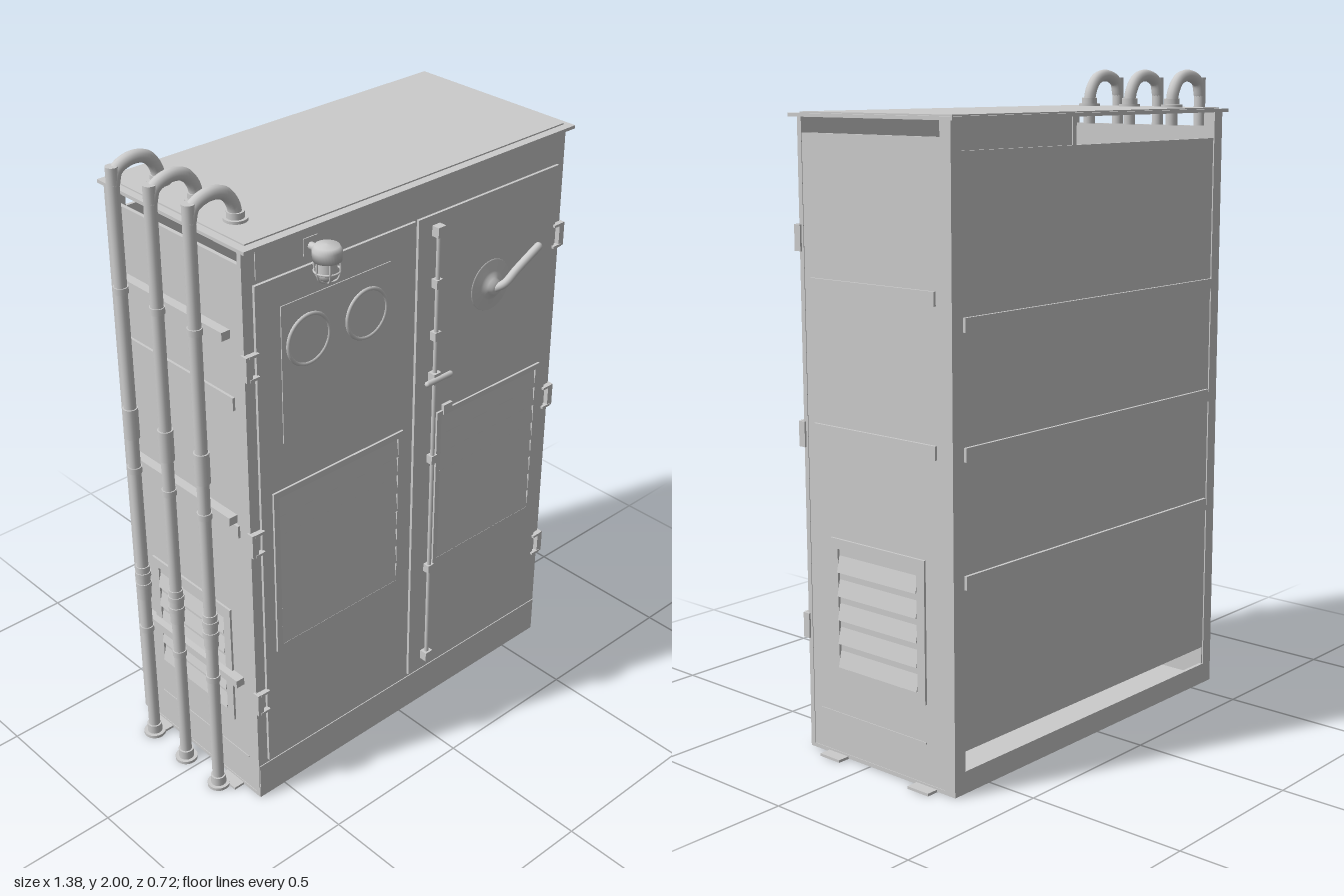
import * as THREE from 'three';

const mat = new THREE.MeshStandardMaterial({ color: 0xcccccc });
const CX = 0.024; // middle of the cabinet body in x

export function createModel() {
  const root = new THREE.Group();

  const add = (name, geo, x = 0, y = 0, z = 0, parent = root) => {
    const m = new THREE.Mesh(geo, mat);
    m.name = name;
    m.position.set(x, y, z);
    parent.add(m);
    return m;
  };
  // box given by its limits
  const box = (name, x0, x1, y0, y1, z0, z1, parent = root) =>
    add(name, new THREE.BoxGeometry(x1 - x0, y1 - y0, z1 - z0),
      (x0 + x1) / 2, (y0 + y1) / 2, (z0 + z1) / 2, parent);
  // upright cylinder given by its end heights
  const rod = (name, x, z, y0, y1, r, seg = 16, parent = root) =>
    add(name, new THREE.CylinderGeometry(r, r, y1 - y0, seg), x, (y0 + y1) / 2, z, parent);
  const tube = (name, pts, r, seg = 24, parent = root) =>
    add(name, new THREE.TubeGeometry(
      new THREE.CatmullRomCurve3(pts.map(p => new THREE.Vector3(...p))), seg, r, 12), 0, 0, 0, parent);
  // rectangular frame facing +z
  const frame = (name, w, h, t, d, parent) => {
    const s = new THREE.Shape([[-w, -h], [w, -h], [w, h], [-w, h]].map(p => new THREE.Vector2(p[0] / 2, p[1] / 2)));
    const iw = w / 2 - t, ih = h / 2 - t;
    s.holes.push(new THREE.Path([[-iw, -ih], [-iw, ih], [iw, ih], [iw, -ih]].map(p => new THREE.Vector2(...p))));
    return add(name, new THREE.ExtrudeGeometry(s, { depth: d, bevelEnabled: false }), 0, 0, 0, parent);
  };
  // framed louvre with tilted slats, facing +z
  const louvre = (name, w, h, n, t, tilt) => {
    const g = new THREE.Group();
    g.name = name;
    frame('louvreFrame', w, h, t, 0.007, g);
    const pitch = (h - 2 * t) / n;
    for (let i = 0; i < n; i++) {
      const slat = add('louvreSlat', new THREE.BoxGeometry(w - 2 * t, pitch * 0.97, 0.003),
        0, h / 2 - t - pitch * (i + 0.5), 0.002, g);
      slat.rotation.x = -tilt;
    }
    root.add(g);
    return g;
  };

  // cabinet shell, open below the roof
  box('floor', -0.6, 0.648, 0.002, 0.014, -0.34, 0.248);
  box('frontWall', -0.6, 0.648, 0.002, 1.872, 0.236, 0.248);
  box('backWall', -0.596, 0.644, 0.125, 1.79, -0.336, -0.326);
  box('backSill', -0.6, 0.648, 0.002, 0.068, -0.34, -0.328);
  box('backSlotEndLeft', 0.6, 0.644, 0.06, 0.13, -0.336, -0.326);
  box('backSlotEndRight', -0.596, -0.555, 0.06, 0.13, -0.336, -0.326);
  for (const y of [1.33, 0.975, 0.615]) {
    box('backRib', -0.55, 0.6, y - 0.02, y + 0.02, -0.345, -0.334);
  }
  for (const s of [1, -1]) {
    const sx = d => CX + s * d;
    const sideBox = (name, d0, d1, ...r) => box(name, Math.min(sx(d0), sx(d1)), Math.max(sx(d0), sx(d1)), ...r);
    sideBox('sideWall', 0.61, 0.622, 0.002, 1.826, -0.335, 0.24);
    sideBox('backPost', 0.583, 0.624, 0.002, 1.872, -0.34, -0.3);
    sideBox('frontPost', 0.59, 0.624, 0.002, 1.872, 0.232, 0.248);
    for (const y of [1.4, 0.98]) sideBox('sideRib', 0.62, 0.63, y - 0.02, y + 0.02, -0.28, 0.2);
    sideBox('baseSeam', 0.62, 0.6245, 0.132, 0.137, -0.23, 0.2);
    for (const z of [-0.23, 0.13]) sideBox('footTab', 0.55, 0.661, 0, 0.008, z - 0.04, z + 0.04);
    const l = louvre('sideLouvre', 0.375, 0.42, 5, 0.03, 0.22);
    l.position.set(sx(0.622), 0.46, -0.045);
    l.rotation.y = s * Math.PI / 2;
    // door hinges
    for (const y of [1.53, 0.96, 0.38]) {
      sideBox('hinge', 0.609, 0.63, y - 0.038, y + 0.038, 0.24, 0.264);
      for (const e of [-0.035, 0.035]) sideBox('hingeArm', 0.585, 0.62, y + e - 0.004, y + e + 0.004, 0.25, 0.266);
    }
  }

  // roof with raised centre panel
  box('roof', -0.61, 0.66, 1.87, 1.88, -0.356, 0.273);
  box('roofPanel', -0.585, 0.64, 1.875, 1.884, -0.338, 0.245);

  // doors, header and plinth
  box('header', -0.555, 0.605, 1.775, 1.865, 0.245, 0.251);
  box('plinth', -0.598, 0.646, 0.002, 0.125, 0.245, 0.251);
  box('rightDoor', -0.565, 0.021, 0.138, 1.762, 0.24, 0.257);
  box('leftDoor', 0.032, 0.618, 0.138, 1.762, 0.24, 0.257);

  // gauge panel
  box('gaugePanel', -0.48, -0.075, 1.25, 1.675, 0.25, 0.26);
  for (const x of [-0.385, -0.17]) {
    add('gaugeRing', new THREE.TorusGeometry(0.074, 0.006, 8, 40), x, 1.546, 0.261);
    add('gaugeGlass', new THREE.CylinderGeometry(0.072, 0.072, 0.006, 40), x, 1.546, 0.26).rotation.x = Math.PI / 2;
  }

  // door louvres
  louvre('rightDoorLouvre', 0.505, 0.56, 8, 0.02, 0.13).position.set(-0.272, 0.823, 0.257);
  louvre('leftDoorLouvre', 0.46, 0.56, 8, 0.018, 0.13).position.set(0.353, 0.823, 0.257);
  box('louvreLatch', 0.147, 0.183, 1.09, 1.123, 0.255, 0.268);

  // locking rod
  rod('lockRod', 0.1, 0.27, 0.19, 1.72, 0.007, 12);
  for (const y of [0.195, 1.715]) box('rodEnd', 0.085, 0.115, y - 0.016, y + 0.016, 0.255, 0.283);
  for (const y of [1.55, 1.38, 0.955, 0.545]) box('rodClip', 0.088, 0.112, y - 0.014, y + 0.014, 0.255, 0.28);
  add('rodHandle', new THREE.CapsuleGeometry(0.009, 0.095, 4, 12), 0.103, 1.24, 0.285).rotation.z = Math.PI / 2;
  box('rodHandleBlock', 0.085, 0.115, 1.222, 1.258, 0.255, 0.283);

  // rotary door handle
  const rosette = new THREE.LatheGeometry(
    [[0, 0.03], [0.022, 0.03], [0.026, 0.016], [0.042, 0.013], [0.046, 0.007], [0.08, 0.005], [0.082, 0]]
      .reverse().map(p => new THREE.Vector2(...p)), 40);
  add('handleRosette', rosette, 0.338, 1.46, 0.256).rotation.x = Math.PI / 2;
  tube('handleLever', [[0.335, 1.455, 0.275], [0.355, 1.472, 0.298], [0.4, 1.508, 0.306], [0.47, 1.565, 0.322]], 0.013);
  add('leverTip', new THREE.SphereGeometry(0.013, 12, 8), 0.47, 1.565, 0.322);

  // caged lamp
  const lamp = new THREE.Group();
  lamp.name = 'lamp';
  lamp.position.set(-0.367, 0, 0.318);
  root.add(lamp);
  add('lampCap', new THREE.LatheGeometry(
    [[0, 1.797], [0.04, 1.797], [0.041, 1.825], [0.034, 1.838], [0, 1.842]].map(p => new THREE.Vector2(...p)), 32), 0, 0, 0, lamp);
  add('lampGlass', new THREE.CapsuleGeometry(0.027, 0.03, 8, 20), 0, 1.775, 0, lamp);
  for (let i = 0; i < 6; i++) {
    const a = i * Math.PI / 3, c = Math.cos(a), s = Math.sin(a);
    tube('cageWire', [[0.036, 1.8], [0.036, 1.765], [0.027, 1.742], [0, 1.731]].map(([r, y]) => [r * c, y, r * s]), 0.003, 12, lamp);
  }
  add('cageRing', new THREE.TorusGeometry(0.036, 0.003, 8, 32), 0, 1.766, 0, lamp).rotation.x = Math.PI / 2;
  add('lampArm', new THREE.CylinderGeometry(0.011, 0.011, 0.06, 12), 0, 1.815, -0.045, lamp).rotation.x = Math.PI / 2;
  box('lampPlate', -0.025, 0.025, 1.79, 1.84, -0.071, -0.064, lamp);

  // cable conduits on the side
  for (const z of [-0.215, -0.05, 0.113]) {
    const x = -0.655;
    rod('conduit', x, z, 0, 1.975, 0.0185);
    rod('conduitFlange', x, z, 0, 0.01, 0.035, 24);
    rod('conduitFoot', x, z, 0, 0.04, 0.024);
    rod('upperCoupling', x, z, 1.13, 1.23, 0.023);
    rod('lowerCoupling', x, z, 0.55, 0.67, 0.022);
    for (const y of [0.6, 0.64]) rod('couplingRing', x, z, y - 0.008, y + 0.008, 0.025);
    tube('conduitBend', [[x, 1.92, z], [-0.64, 1.962, z], [-0.59, 1.981, z], [-0.54, 1.97, z], [-0.51, 1.93, z], [-0.503, 1.88, z], [-0.503, 1.828, z]], 0.019, 36);
    rod('roofFlange', -0.503, z, 1.88, 1.892, 0.034, 24);
    rod('roofCollar', -0.503, z, 1.88, 1.91, 0.025);
  }
  // conduit support rails
  for (const y of [1.61, 1.02, 0.43]) {
    box('conduitRail', -0.627, -0.597, y - 0.013, y + 0.013, -0.29, 0.19);
    for (const z of [-0.215, -0.05, 0.113]) rod('conduitClamp', -0.655, z, y - 0.01, y + 0.01, 0.022);
  }
  return root;
}
